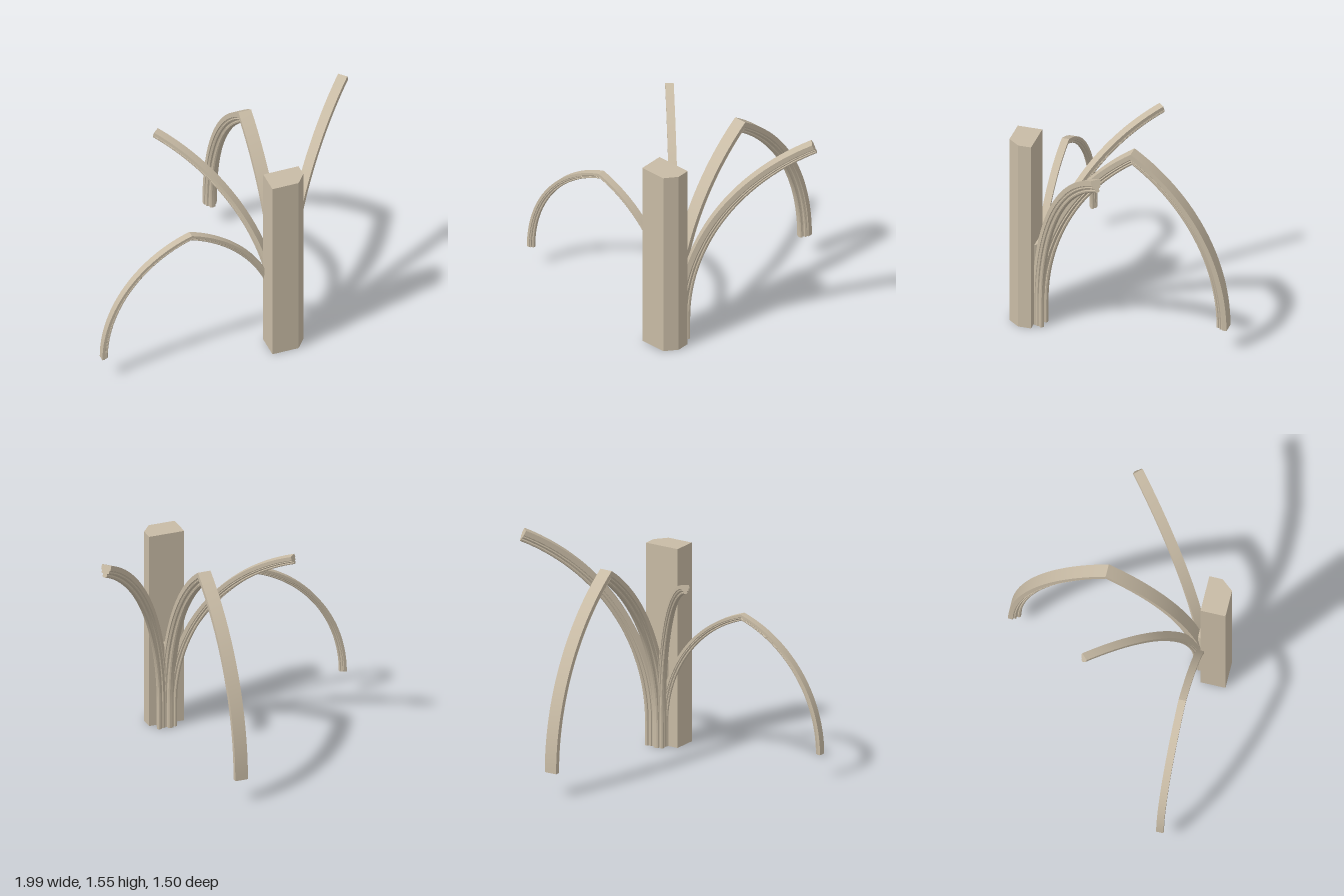
import * as THREE from 'three';
import { toCreasedNormals } from 'three/addons/utils/BufferGeometryUtils.js';

const SPRING = 0.165; // height where the curves begin

// half of the moulded rib section: [half width, depth from the outer face]
const HALF = [
  [0.5, 0], [0.5, 0.4], [0.43, 0.42], [0.38, 0.5], [0.42, 0.58], [0.36, 0.66],
  [0.24, 0.68], [0.19, 0.75], [0.24, 0.83], [0.2, 0.94], [0.1, 1],
];
const SECTION = [...HALF, ...HALF.slice().reverse().map(([u, v]) => [-u, v])];

// Rib rising from (x, z) along the ground direction (dx, dz).
// span: ground distance to the end; rise: height gained; pointed: adds a mirrored far half
function ribGeometry({ x, z, dx, dz, span, rise, width, depth, pointed }) {
  const R = (span * span + rise * rise) / (2 * span);
  const len = Math.hypot(dx, dz);
  const dir = new THREE.Vector3(dx / len, 0, dz / len);
  const side = new THREE.Vector3().crossVectors(dir, new THREE.Vector3(0, 1, 0));
  const steps = 28;
  const place = (d, y, s) =>
    new THREE.Vector3(x, y, z).addScaledVector(dir, d).addScaledVector(side, s);
  const ring = (t, far) => SECTION.map(([u, v]) => {
    const r = R - v * depth;
    // a pointed arch meets on an upright plane, an open rib is cut square to its curve
    const end = Math.acos((R - span) / (pointed ? r : R));
    const d = R - r * Math.cos(end * t);
    return place(far ? 2 * span - d : d, SPRING + r * Math.sin(end * t), u * width);
  });

  const rings = [SECTION.map(([u, v]) => place(v * depth, 0, u * width))];
  for (let i = 0; i <= steps; i++) rings.push(ring(i / steps, false));
  if (pointed) for (let i = steps - 1; i >= 0; i--) rings.push(ring(i / steps, true));

  const pos = [];
  const tri = (...pts) => pts.forEach((p) => pos.push(p.x, p.y, p.z));
  const n = SECTION.length;
  for (let k = 0; k < rings.length - 1; k++) {
    for (let i = 0; i < n; i++) {
      const j = (i + 1) % n, a = rings[k], b = rings[k + 1];
      tri(a[i], a[j], b[j]);
      tri(a[i], b[j], b[i]);
    }
  }
  const flat = SECTION.map(([u, v]) => new THREE.Vector2(v * depth, -u * width));
  const first = rings[0], last = rings[rings.length - 1];
  for (const [a, b, c] of THREE.ShapeUtils.triangulateShape(flat, [])) {
    tri(first[a], first[c], first[b]);
    tri(last[a], last[b], last[c]);
  }
  const geo = new THREE.BufferGeometry();
  geo.setAttribute('position', new THREE.Float32BufferAttribute(pos, 3));
  return toCreasedNormals(geo, 0.35);
}

// upright prism from a plan outline of [x, z] points
function prism(outline, height) {
  const shape = new THREE.Shape(outline.map(([x, z]) => new THREE.Vector2(x, -z)));
  const geo = new THREE.ExtrudeGeometry(shape, { depth: height, bevelEnabled: false });
  return geo.rotateX(-Math.PI / 2);
}

export function createModel() {
  const group = new THREE.Group();
  const stone = new THREE.MeshStandardMaterial({ color: 0xc8bba5 });
  stone.name = 'stone';
  const add = (name, geo) => {
    const mesh = new THREE.Mesh(geo, stone);
    mesh.name = name;
    group.add(mesh);
  };

  // pillar with one chamfered corner, and the small springer block behind it
  add('pillar', prism([[0.15, 0.58], [0.15, 0.75], [0.335, 0.75], [0.4, 0.67], [0.4, 0.58]], 1.385));
  add('springer', prism([[0.22, 0.58], [0.33, 0.58], [0.305, 0.54], [0.25, 0.54]], 0.6));

  // pointed arches
  add('backArch', ribGeometry({
    x: 0.275, z: 0.58, dx: 0, dz: -1, span: 0.665, rise: 1.235, width: 0.09, depth: 0.08, pointed: true,
  }));
  add('sideArch', ribGeometry({
    x: 0.27, z: 0.58, dx: -1, dz: 0, span: 0.635, rise: 0.865, width: 0.05, depth: 0.046, pointed: true,
  }));

  // open diagonal ribs
  add('rightDiagonalRib', ribGeometry({
    x: 0.27, z: 0.56, dx: -0.635, dz: -0.66, span: 0.9, rise: 1.245, width: 0.057, depth: 0.06, pointed: false,
  }));
  add('leftDiagonalRib', ribGeometry({
    x: 0.3, z: 0.57, dx: 0.665, dz: -0.62, span: 0.89, rise: 1.382, width: 0.068, depth: 0.085, pointed: false,
  }));
  return group;
}
